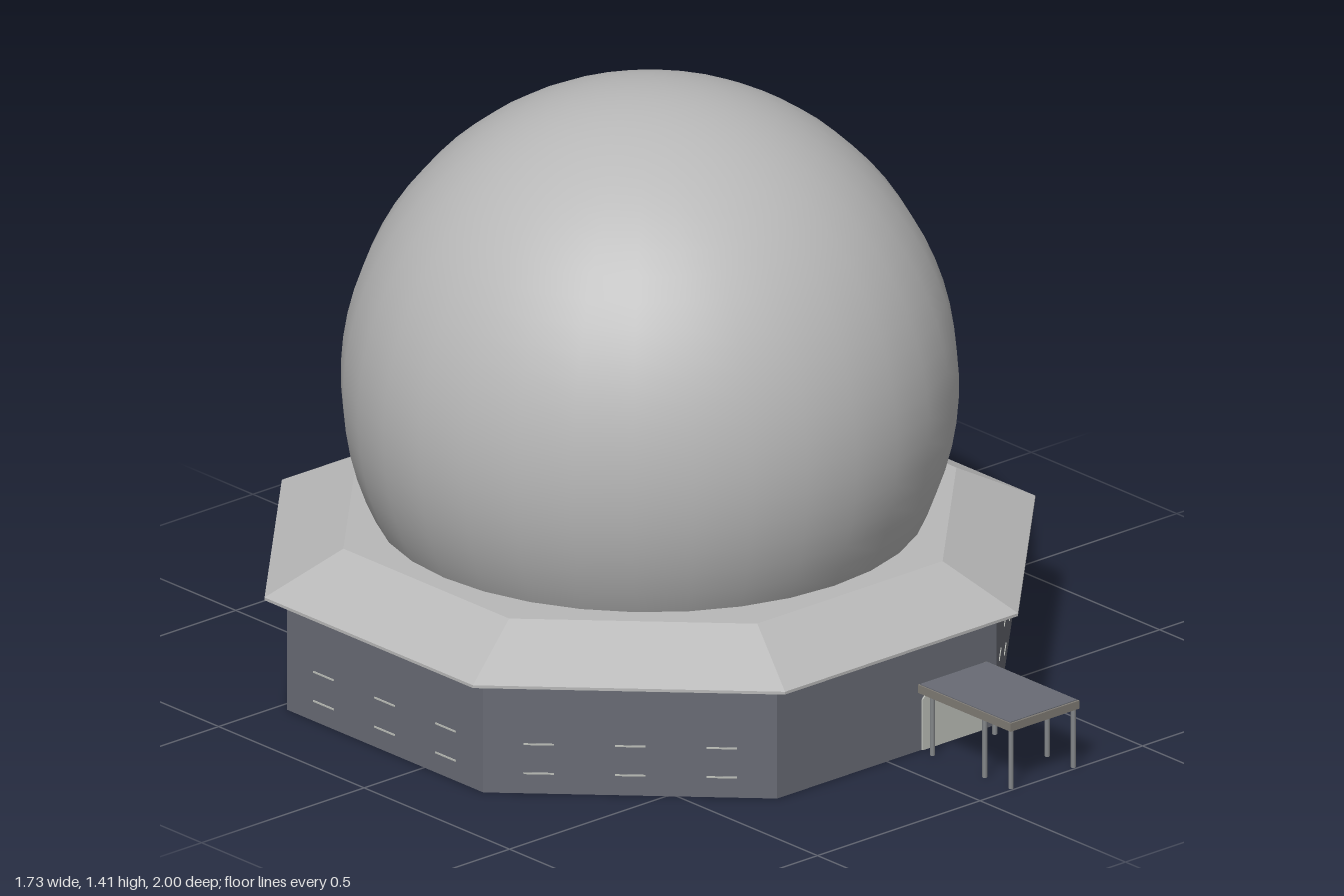
import * as THREE from 'three';

const CZ = -0.135; // centre of the octagonal building
const K = 1 / Math.cos(Math.PI / 8); // apothem to corner radius

const paint = (name, color) => {
  const m = new THREE.MeshStandardMaterial({ color, side: THREE.DoubleSide });
  m.name = name;
  return m;
};

export function createModel() {
  const group = new THREE.Group();
  const paleGrey = paint('pale grey', 0xb8b8b8);
  const slate = paint('slate', 0x686b74);
  const doorGrey = paint('door grey', 0xbcbeb8);
  const trimGrey = paint('trim grey', 0x807c75);
  const postGrey = paint('post grey', 0x84878a);

  const add = (name, geo, mat, x = 0, y = 0, z = 0, parent = group) => {
    const mesh = new THREE.Mesh(geo, mat);
    mesh.name = name;
    mesh.position.set(x, y, z);
    parent.add(mesh);
    return mesh;
  };
  const box = (name, w, h, d, mat, x, y, z, parent) =>
    add(name, new THREE.BoxGeometry(w, h, d), mat, x, y, z, parent);

  // Flat-faced octagonal ring from a profile of [apothem, y]
  const octagon = (profile) => {
    const pts = profile.map(([a, y]) => new THREE.Vector2(a * K, y));
    const geo = new THREE.LatheGeometry(pts, 8, Math.PI / 8).toNonIndexed();
    geo.computeVertexNormals();
    return geo;
  };

  // Building shell, open below
  add('walls', octagon([[0.815, 0], [0.815, 0.281]]), slate, 0, 0, CZ);
  add('roof', octagon([[0.815, 0.278], [0.865, 0.278], [0.865, 0.285], [0.688, 0.38], [0.49, 0.38]]),
    paleGrey, 0, 0, CZ);

  // Dome, cut off where it meets the roof
  const R = 0.71, domeY = 0.7;
  add('dome', new THREE.SphereGeometry(R, 32, 24, 0, Math.PI * 2, 0, Math.acos((0.378 - domeY) / R)),
    paleGrey, 0, domeY, CZ);

  // Narrow vents: high on the front, two low rows on the side walls
  for (let i = 0; i < 8; i++) {
    if (i === 4) continue;
    const face = new THREE.Group();
    face.name = 'wallVents';
    face.position.z = CZ;
    face.rotation.y = i * Math.PI / 4;
    group.add(face);
    for (const x of [-0.21, 0, 0.21])
      for (const y of i === 0 ? [0.262] : [0.05, 0.122])
        box('vent', i === 0 ? 0.1 : 0.07, 0.004, 0.004, doorGrey, x, y, 0.815, face);
  }

  // Door with clipped upper corners
  const door = new THREE.Shape();
  door.moveTo(-0.093, 0);
  door.lineTo(0.093, 0);
  door.lineTo(0.093, 0.125);
  door.lineTo(0.078, 0.14);
  door.lineTo(-0.078, 0.14);
  door.lineTo(-0.093, 0.125);
  add('door', new THREE.ExtrudeGeometry(door, { depth: 0.008, bevelEnabled: false }),
    doorGrey, 0.2, 0, CZ + 0.811);

  // Entrance canopy on posts
  box('canopyTop', 0.205, 0.006, 0.31, slate, 0.2, 0.164, 0.84);
  box('canopyFrontTrim', 0.212, 0.02, 0.008, trimGrey, 0.2, 0.155, 0.996);
  for (const s of [-1, 1]) {
    box('canopySideTrim', 0.008, 0.02, 0.314, trimGrey, 0.2 + s * 0.102, 0.155, 0.838);
    for (const z of [0.99, 0.9, 0.72])
      add('canopyPost', new THREE.CylinderGeometry(0.006, 0.006, 0.148, 8), postGrey, 0.2 + s * 0.096, 0.074, z);
  }

  return group;
}
